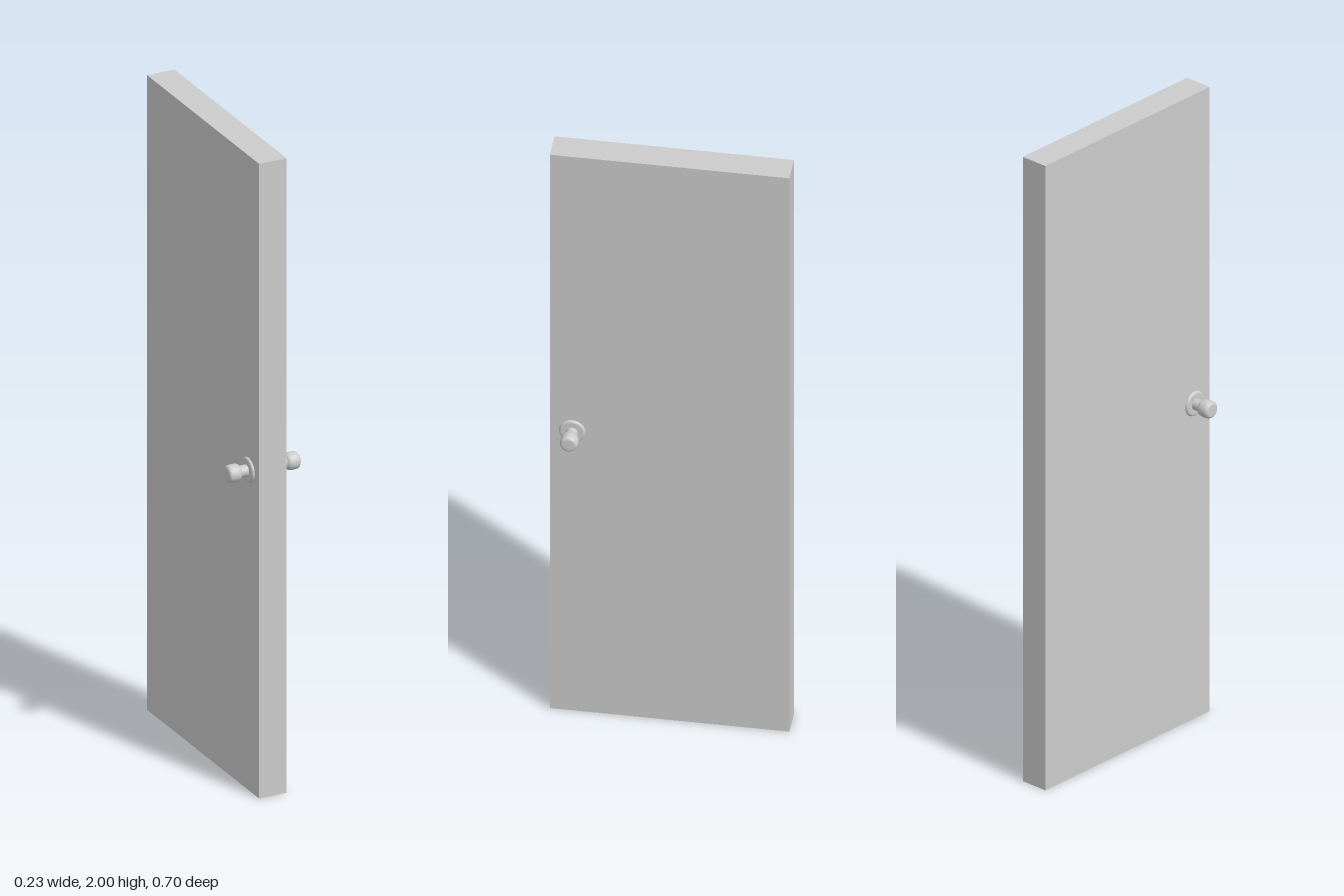
import * as THREE from 'three';

const material = new THREE.MeshStandardMaterial({ color: 0xcccccc });

// Turned part, profile given as [radius, distance from the door's mid-plane]
function turned(name, profile) {
  const points = profile.map(([r, d]) => new THREE.Vector2(r, d));
  const mesh = new THREE.Mesh(new THREE.LatheGeometry(points, 32), material);
  mesh.name = name;
  return mesh;
}

// One handle, its axis along +y before it is turned to a door face
function makeHandle(name) {
  const handle = new THREE.Group();
  handle.name = name;
  handle.add(
    turned('rosette', [
      [0.0385, 0.043], [0.0385, 0.0445], [0.038, 0.047], [0.0365, 0.0495],
      [0.034, 0.051], [0.031, 0.0515], [0, 0.0515],
    ]),
    turned('stem', [[0.0175, 0.05], [0.0175, 0.077]]),
    turned('knob', [
      [0.0165, 0.073], [0.0195, 0.0745], [0.0235, 0.078], [0.0255, 0.082],
      [0.0265, 0.088], [0.0268, 0.095], [0.0265, 0.102], [0.0255, 0.108],
      [0.0235, 0.112], [0.02, 0.1145], [0.0165, 0.1153], [0, 0.1153],
    ]),
  );
  return handle;
}

export function createModel() {
  const model = new THREE.Group();
  model.name = 'door';

  // Plain slab
  const panel = new THREE.Mesh(new THREE.BoxGeometry(0.088, 2, 0.697), material);
  panel.name = 'panel';
  panel.position.y = 1;
  model.add(panel);

  // A handle on each face, near the front edge
  for (const [name, side] of [['leftHandle', 1], ['rightHandle', -1]]) {
    const handle = makeHandle(name);
    handle.rotation.z = -side * Math.PI / 2;
    handle.position.set(0, 1.01, 0.283);
    model.add(handle);
  }

  return model;
}
